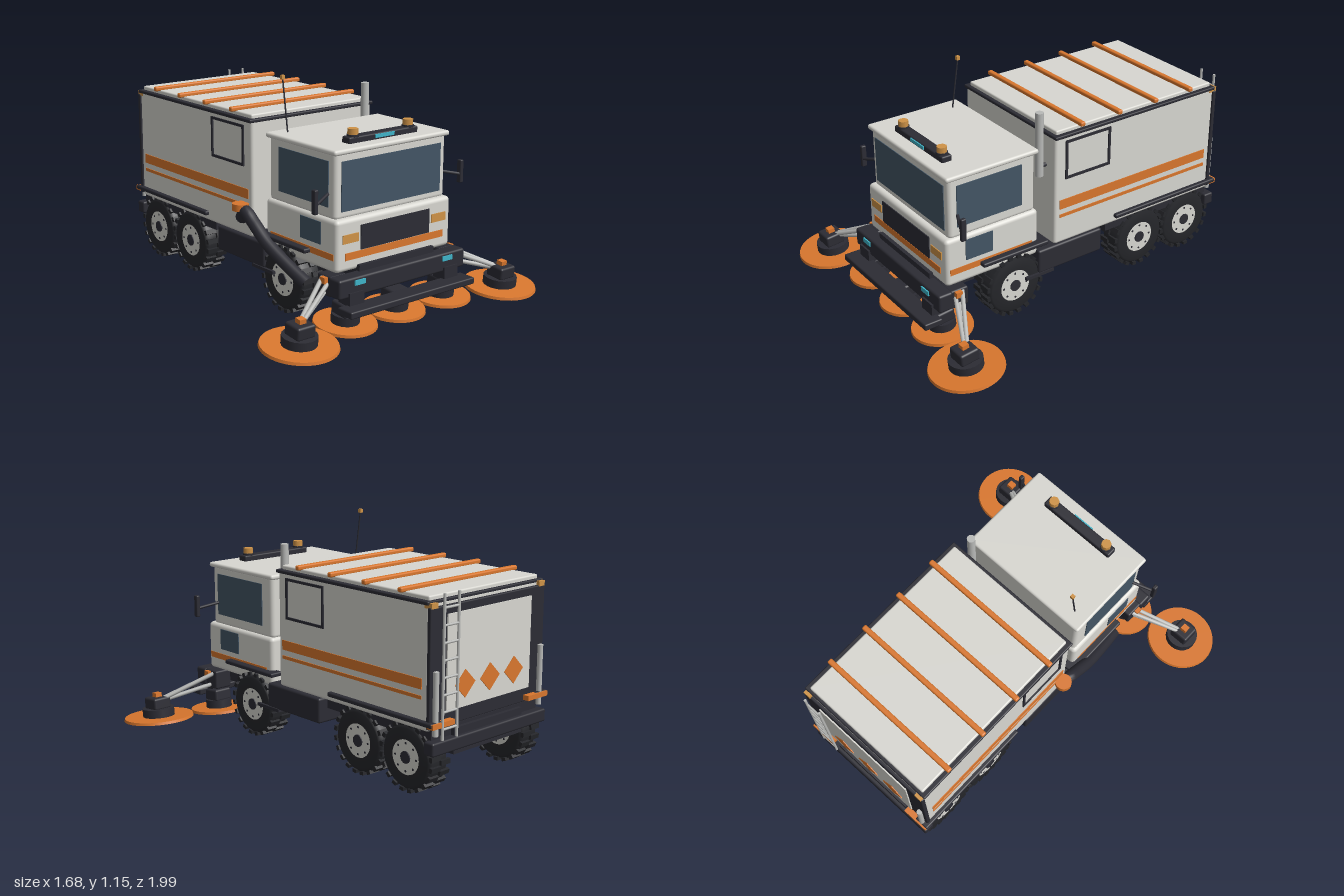
import * as THREE from 'three';
import { RoundedBoxGeometry } from 'three/addons/geometries/RoundedBoxGeometry.js';

const paint = (name, color, side = THREE.FrontSide) => {
  const m = new THREE.MeshStandardMaterial({ color, side });
  m.name = name;
  return m;
};

export function createModel() {
  const root = new THREE.Group();
  root.name = 'streetSweeper';
  const white = paint('body white', 0xd8d7d1);
  const orange = paint('safety orange', 0xd9772e);
  const dark = paint('dark trim', 0x2c2c34);
  const tyre = paint('tyre rubber', 0x25262a);
  const glass = paint('window glass', 0x435565);
  const amber = paint('amber lamp', 0xcf9347);
  const cyan = paint('cyan lamp', 0x3fb4c8);
  const steel = paint('steel', 0xb9bab8);

  const add = (name, geo, mat, x = 0, y = 0, z = 0, parent = root) => {
    const m = new THREE.Mesh(geo, mat);
    m.name = name;
    m.position.set(x, y, z);
    parent.add(m);
    return m;
  };
  // Boxes are given by their limits on each axis
  const box = (name, mat, [x0, x1], [y0, y1], [z0, z1], r = 0, parent = root) => {
    const s = [x1 - x0, y1 - y0, z1 - z0];
    const geo = r ? new RoundedBoxGeometry(...s, 3, r) : new THREE.BoxGeometry(...s);
    return add(name, geo, mat, (x0 + x1) / 2, (y0 + y1) / 2, (z0 + z1) / 2, parent);
  };
  const cyl = (name, mat, r, h, x, y, z, n = 24, parent = root) =>
    add(name, new THREE.CylinderGeometry(r, r, h, n), mat, x, y, z, parent);
  const rod = (name, mat, a, b, r) => {
    const p = new THREE.Vector3(...a), q = new THREE.Vector3(...b);
    const d = q.clone().sub(p);
    const m = cyl(name, mat, r, d.length(), 0, 0, 0, 10);
    m.position.copy(p).add(q).multiplyScalar(0.5);
    m.quaternion.setFromUnitVectors(new THREE.Vector3(0, 1, 0), d.normalize());
    return m;
  };
  // Orders a mirrored range so that it runs from low to high
  const span = (s, a, b) => (s > 0 ? [a, b] : [-b, -a]);
  const sides = [1, -1];

  // Chassis
  box('chassis', dark, [-0.24, 0.24], [0.195, 0.32], [-0.97, 0.74]);
  box('rearBumper', dark, [-0.4, 0.4], [0.22, 0.285], [-0.99, -0.93], 0.01);
  box('rearCrossmember', dark, [-0.37, 0.37], [0.28, 0.335], [-0.95, -0.25]);
  for (const s of sides) {
    box('sideTank', dark, span(s, 0.24, 0.39), [0.19, 0.32], [-0.21, 0.19], 0.012);
    box('tankRail', dark, span(s, 0.35, 0.395), [0.18, 0.196], [0.1, 0.27]);
    box('frontFender', dark, span(s, 0.33, 0.405), [0.355, 0.378], [0.14, 0.53], 0.008);
    box('rearFender', dark, span(s, 0.33, 0.41), [0.355, 0.378], [-0.985, -0.29], 0.008);
    box('rearMarker', orange, span(s, 0.26, 0.405), [0.35, 0.375], [-0.992, -0.955]);
  }

  // Wheels
  const wheel = (s, z) => {
    const g = new THREE.Group();
    g.name = 'wheel';
    g.position.set(s * 0.32, 0.171, z);
    g.rotation.z = -s * Math.PI / 2; // local +y points outwards
    root.add(g);
    const prof = [[0.085, -0.06], [0.14, -0.062], [0.158, -0.045], [0.158, 0.045], [0.14, 0.062], [0.085, 0.06]];
    add('tyre', new THREE.LatheGeometry(prof.map(p => new THREE.Vector2(...p)), 32), tyre, 0, 0, 0, g);
    cyl('hub', white, 0.092, 0.118, 0, 0, 0, 28, g);
    cyl('hubCap', dark, 0.03, 0.13, 0, 0, 0, 16, g);
    const lug = new THREE.BoxGeometry(0.018, 0.06, 0.024);
    for (let i = 0; i < 40; i++) {
      const a = i * Math.PI / 20;
      const m = add('treadLug', lug, tyre, 0.161 * Math.cos(a), i % 2 ? 0.031 : -0.031, 0.161 * Math.sin(a), g);
      m.rotation.y = -a;
    }
    for (let i = 0; i < 8; i++) {
      const a = i * Math.PI / 4;
      cyl('wheelBolt', dark, 0.006, 0.122, 0.068 * Math.cos(a), 0, 0.068 * Math.sin(a), 6, g);
    }
  };
  for (const z of [0.33, -0.48, -0.8]) {
    for (const s of sides) wheel(s, z);
    rod('axle', dark, [-0.3, 0.171, z], [0.3, 0.171, z], 0.03);
  }

  // Cab
  box('lowerCab', white, [-0.367, 0.367], [0.295, 0.55], [0.18, 0.72], 0.022);
  box('upperCab', white, [-0.352, 0.352], [0.54, 0.87], [0.19, 0.69], 0.022);
  box('cabRoof', white, [-0.366, 0.366], [0.852, 0.878], [0.175, 0.705], 0.012);
  box('windscreen', glass, [-0.315, 0.315], [0.58, 0.82], [0.688, 0.694]);
  box('grille', dark, [-0.22, 0.22], [0.39, 0.51], [0.716, 0.725]);
  box('frontStripe', orange, [-0.315, 0.315], [0.352, 0.387], [0.716, 0.724]);
  for (const s of sides) {
    box('sideWindow', glass, span(s, 0.35, 0.356), [0.6, 0.82], [0.27, 0.645]);
    box('lowerWindow', glass, span(s, 0.365, 0.371), [0.415, 0.525], [0.455, 0.61]);
    box('cabStripe', orange, span(s, 0.364, 0.37), [0.357, 0.388], [0.22, 0.7]);
    box('headlamp', amber, span(s, 0.235, 0.33), [0.435, 0.477], [0.716, 0.725]);
    // Mirror
    rod('mirrorArm', dark, [s * 0.35, 0.665, 0.64], [s * 0.46, 0.64, 0.688], 0.008).scale.z = 1;
    box('mirror', dark, span(s, 0.454, 0.476), [0.595, 0.712], [0.67, 0.698], 0.006);
    // Roof beacon
    cyl('beaconBase', dark, 0.03, 0.012, s * 0.175, 0.91, 0.605, 12);
    cyl('beacon', amber, 0.026, 0.036, s * 0.175, 0.926, 0.605, 8);
    box('bumperLamp', cyan, span(s, 0.25, 0.315), [0.252, 0.276], [0.789, 0.797]);
  }
  box('lightBar', dark, [-0.218, 0.218], [0.872, 0.908], [0.575, 0.632], 0.008);
  box('lightBarLamp', cyan, [-0.06, 0.06], [0.886, 0.903], [0.63, 0.638]);
  rod('aerial', dark, [-0.283, 0.87, 0.25], [-0.283, 1.14, 0.21], 0.004);
  box('aerialTip', amber, [-0.292, -0.274], [1.132, 1.152], [0.201, 0.219]);
  cyl('exhaustPipe', steel, 0.021, 0.34, 0.311, 0.87, 0.135, 20);
  rod('exhaustBracket', dark, [0.311, 0.75, 0.135], [0.311, 0.75, 0.08], 0.01);

  // Hopper body
  box('hopper', white, [-0.388, 0.388], [0.325, 0.925], [-0.945, 0.095], 0.016);
  box('hopperRim', dark, [-0.4, 0.4], [0.91, 0.928], [-0.945, 0.1], 0.006);
  box('hopperRoof', white, [-0.375, 0.375], [0.92, 0.948], [-0.93, 0.08], 0.008);
  for (const z of [-0.065, -0.3, -0.535, -0.77])
    box('roofRib', orange, [-0.402, 0.402], [0.943, 0.967], [z - 0.014, z + 0.014], 0.008);
  for (const s of sides) {
    box('wideStripe', orange, span(s, 0.386, 0.392), [0.52, 0.57], [-0.905, 0.065]);
    box('thinStripe', orange, span(s, 0.386, 0.392), [0.473, 0.49], [-0.905, 0.065]);
    // Inspection hatch frame
    for (const y of [0.682, 0.878])
      box('hatchFrame', dark, span(s, 0.386, 0.395), [y, y + 0.013], [-0.247, 0.033]);
    for (const z of [-0.247, 0.02])
      box('hatchFrame', dark, span(s, 0.386, 0.395), [0.682, 0.891], [z, z + 0.013]);
  }

  // Tailgate
  box('tailgateFrame', dark, [-0.395, 0.395], [0.34, 0.9], [-0.96, -0.938], 0.006);
  box('tailgatePanel', white, [-0.29, 0.29], [0.41, 0.86], [-0.967, -0.958]);
  for (const x of [-0.17, 0, 0.17]) {
    const d = add('tailgateDiamond', new THREE.BoxGeometry(0.095, 0.095, 0.006), orange, x, 0.52, -0.968);
    d.rotation.z = Math.PI / 4;
  }
  for (const s of sides) {
    cyl('tailgateRam', steel, 0.014, 0.3, s * 0.365, 0.46, -0.97, 14);
    box('tailLamp', amber, span(s, 0.35, 0.39), [0.895, 0.92], [-0.962, -0.915]);
  }
  // Ladder
  for (const x of [0.245, 0.34]) rod('ladderRail', steel, [x, 0.29, -0.99], [x, 0.965, -0.99], 0.007);
  for (let i = 0; i < 8; i++) {
    const y = 0.34 + i * 0.08;
    rod('ladderRung', steel, [0.245, y, -0.99], [0.34, y, -0.99], 0.006);
  }

  // Suction hose on the right flank
  const hosePath = new THREE.CatmullRomCurve3([
    [-0.405, 0.42, 0.03], [-0.418, 0.465, 0.08], [-0.418, 0.42, 0.15],
    [-0.415, 0.34, 0.26], [-0.395, 0.25, 0.42], [-0.38, 0.2, 0.52]
  ].map(p => new THREE.Vector3(...p)));
  add('suctionHose', new THREE.TubeGeometry(hosePath, 32, 0.033, 14), dark);
  cyl('hoseCollar', orange, 0.043, 0.035, -0.42, 0.482, 0.04, 20);

  // Front bumper and brush carrier
  box('frontBumper', dark, [-0.405, 0.405], [0.195, 0.29], [0.71, 0.79], 0.012);
  box('brushCarrier', dark, [-0.4, 0.4], [0.125, 0.16], [0.77, 0.87], 0.008);
  for (const s of sides)
    box('carrierBracket', dark, span(s, 0.26, 0.35), [0.14, 0.22], [0.72, 0.8]);

  // Brushes
  const brush = (name, x, z, r, hub) => {
    const g = new THREE.Group();
    g.name = name;
    g.position.set(x, 0.05, z);
    g.rotation.x = 0.1;
    root.add(g);
    add('bristleDisc', new THREE.CylinderGeometry(r * 0.98, r, 0.014, 40), orange, 0, 0, 0, g);
    cyl('brushHub', dark, hub, 0.045, 0, 0.028, 0, 20, g);
    box('brushMotor', dark, [-0.052, 0.052], [0.045, 0.11], [-0.052, 0.052], 0.012, g);
    return g;
  };
  for (const x of [-0.31, 0, 0.31]) brush('rowBrush', x, 0.72, 0.156, 0.07);
  for (const s of sides) {
    const g = brush('sideBrush', s * 0.652, 0.805, 0.186, 0.085);
    box('motorCap', orange, [-0.018, 0.018], [0.108, 0.132], [-0.018, 0.018], 0, g);
    // Swing arm
    for (const [y, z] of [[0.275, 0.65], [0.255, 0.69], [0.21, 0.67]])
      rod('swingArm', steel, [s * 0.39, y, z], [s * 0.625, 0.1 + y * 0.2, 0.79 + (z - 0.67) * 0.4], 0.011);
    box('armPivot', orange, span(s, 0.385, 0.42), [0.255, 0.285], [0.665, 0.7]);
    box('armMount', dark, span(s, 0.3, 0.4), [0.19, 0.29], [0.62, 0.72], 0.01);
  }
  return root;
}
